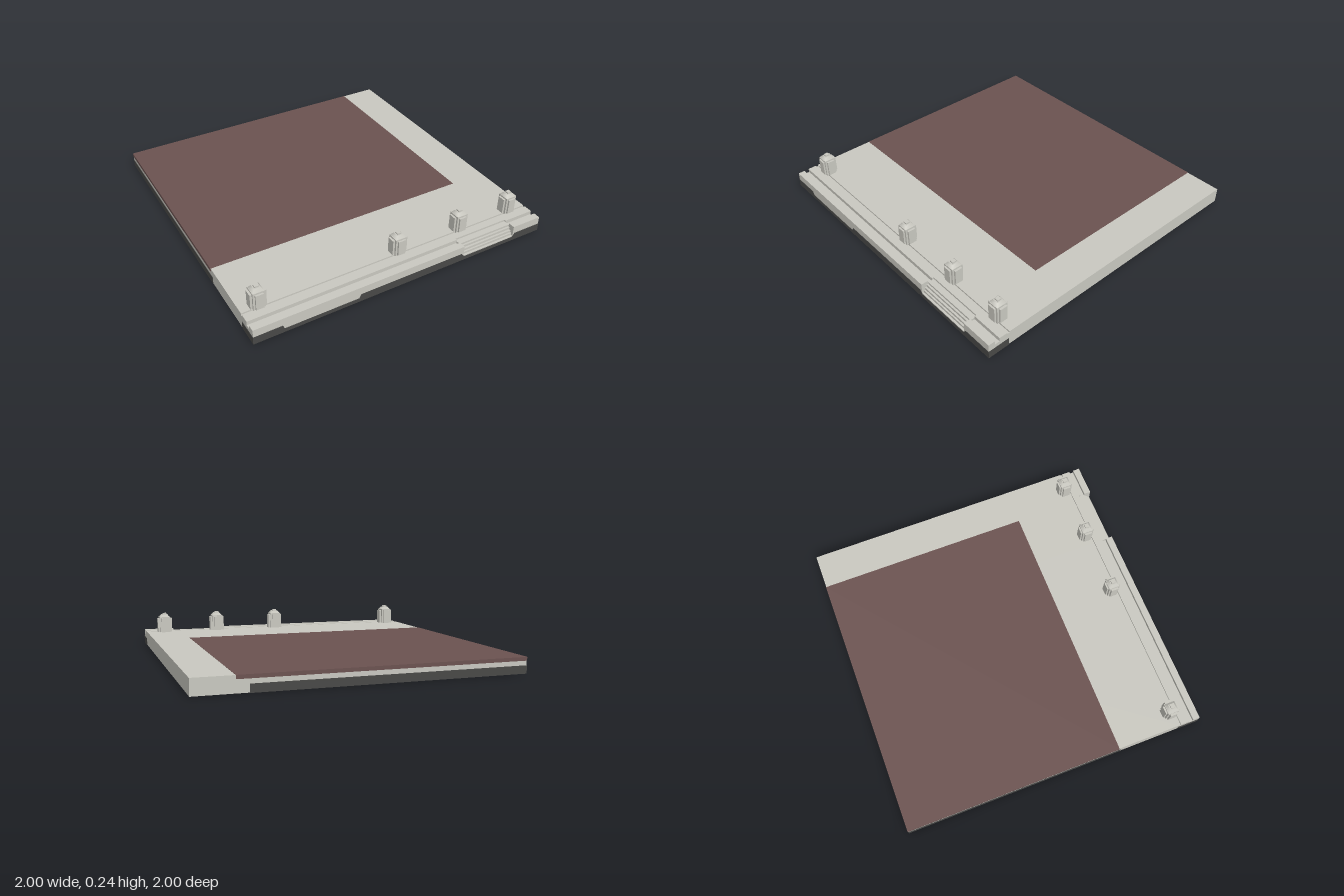
import * as THREE from 'three';

export function createModel() {
  const stone = new THREE.MeshStandardMaterial({ name: 'pale stone', color: 0xc9c8c0 });
  const brown = new THREE.MeshStandardMaterial({ name: 'brown paving', color: 0x6b5250 });
  const dark = new THREE.MeshStandardMaterial({ name: 'dark base', color: 0x484846 });
  const model = new THREE.Group();
  model.name = 'quaySlab';

  const add = (name, geometry, material, parent = model) => {
    const mesh = new THREE.Mesh(geometry, material);
    mesh.name = name;
    parent.add(mesh);
    return mesh;
  };
  const extrude = (points, depth) => new THREE.ExtrudeGeometry(
    new THREE.Shape(points.map(([a, b]) => new THREE.Vector2(a, b))),
    { depth, bevelEnabled: false });
  // Box given by its limits
  const box = (x0, x1, y0, y1, z0, z1) =>
    new THREE.BoxGeometry(x1 - x0, y1 - y0, z1 - z0)
      .translate((x0 + x1) / 2, (y0 + y1) / 2, (z0 + z1) / 2);
  // Cross-section [z, y] swept along x
  const sweep = (profile, x0, x1) =>
    extrude(profile.map(([z, y]) => [-z, y]), x1 - x0).rotateY(Math.PI / 2).translate(x0, 0, 0);
  // Floor plan [x, z] raised from y = 0
  const raise = (plan, height) =>
    extrude(plan, height).rotateX(Math.PI / 2).translate(0, height, 0);

  // Slab with two grooves near the front edge
  const lower = [[-0.998, 0.1], [-0.998, 0.002], [0.998, 0.002]];
  const smallGroove = [[0.865, 0.1], [0.865, 0.09], [0.85, 0.09], [0.85, 0.1]];
  const kerb = [...lower, [0.998, 0.1], [0.953, 0.1], [0.953, 0.075],
    [0.922, 0.075], [0.922, 0.1], ...smallGroove];
  add('slabLong', sweep(kerb, -0.998, 0.405), stone);
  add('slabShort', sweep(kerb, 0.79, 0.998), stone);

  // Boarding steps cut into the kerb
  const steps = [...lower, [0.998, 0.03], [0.985, 0.03], [0.985, 0.045], [0.975, 0.045],
    [0.975, 0.06], [0.962, 0.06], [0.962, 0.075], [0.95, 0.075], [0.95, 0.088],
    [0.91, 0.088], [0.91, 0.1], ...smallGroove];
  add('boardingSteps', sweep(steps, 0.405, 0.79), stone);

  // Paved area on top
  add('paving', box(-1, 0.755, 0.078, 0.101, -1, 0.43), brown);

  // Dark foundation under the back corner
  add('foundation', raise([[-1, -1], [0.68, -1], [0.68, -0.2], [0.63, -0.1], [0.62, 0.52],
    [-0.19, 0.54], [-0.2, 0.45], [-1, 0.45]], 0.05), dark);

  // Dark footing along the front
  add('footingCornerLeft', raise([[0.81, 1], [0.81, 0.855], [1, 0.855], [1, 1]], 0.05), dark);
  add('footingCornerRight', raise([[-1, 1], [-1, 0.86], [-0.9, 0.87], [-0.85, 0.96], [-0.82, 1]], 0.05), dark);
  add('footingStrip', raise([[-0.83, 1], [-0.83, 0.985], [-0.36, 0.985], [-0.31, 0.94],
    [0.82, 0.94], [0.82, 1]], 0.02), dark);
  add('footingFace', extrude([[-1, 0], [1, 0], [1, 0.05], [0.805, 0.05], [0.785, 0.025],
    [0.41, 0.025], [0.39, 0.05], [-0.325, 0.05], [-0.335, 0.025], [-0.81, 0.025],
    [-0.82, 0.05], [-1, 0.05]], 0.006).translate(0, 0, 0.994), dark);

  // Mooring posts: stepped cross-shaped shaft with a tapered cap
  for (const x of [-0.89, 0.035, 0.485, 0.872]) {
    const post = new THREE.Group();
    post.name = 'mooringPost';
    post.position.set(x, 0, 0.823);
    for (const [w, d, top] of [[0.05, 0.025, 0.2], [0.037, 0.037, 0.21], [0.025, 0.048, 0.2]])
      add('shaft', box(-w, w, 0.08, top, -d, d), stone, post);
    add('cap', new THREE.CylinderGeometry(0.028, 0.05, 0.02, 4, 1).toNonIndexed()
      .rotateY(Math.PI / 4).translate(0, 0.218, 0), stone, post);
    add('knob', box(-0.013, 0.013, 0.22, 0.237, -0.013, 0.013), stone, post);
    model.add(post);
  }
  return model;
}
